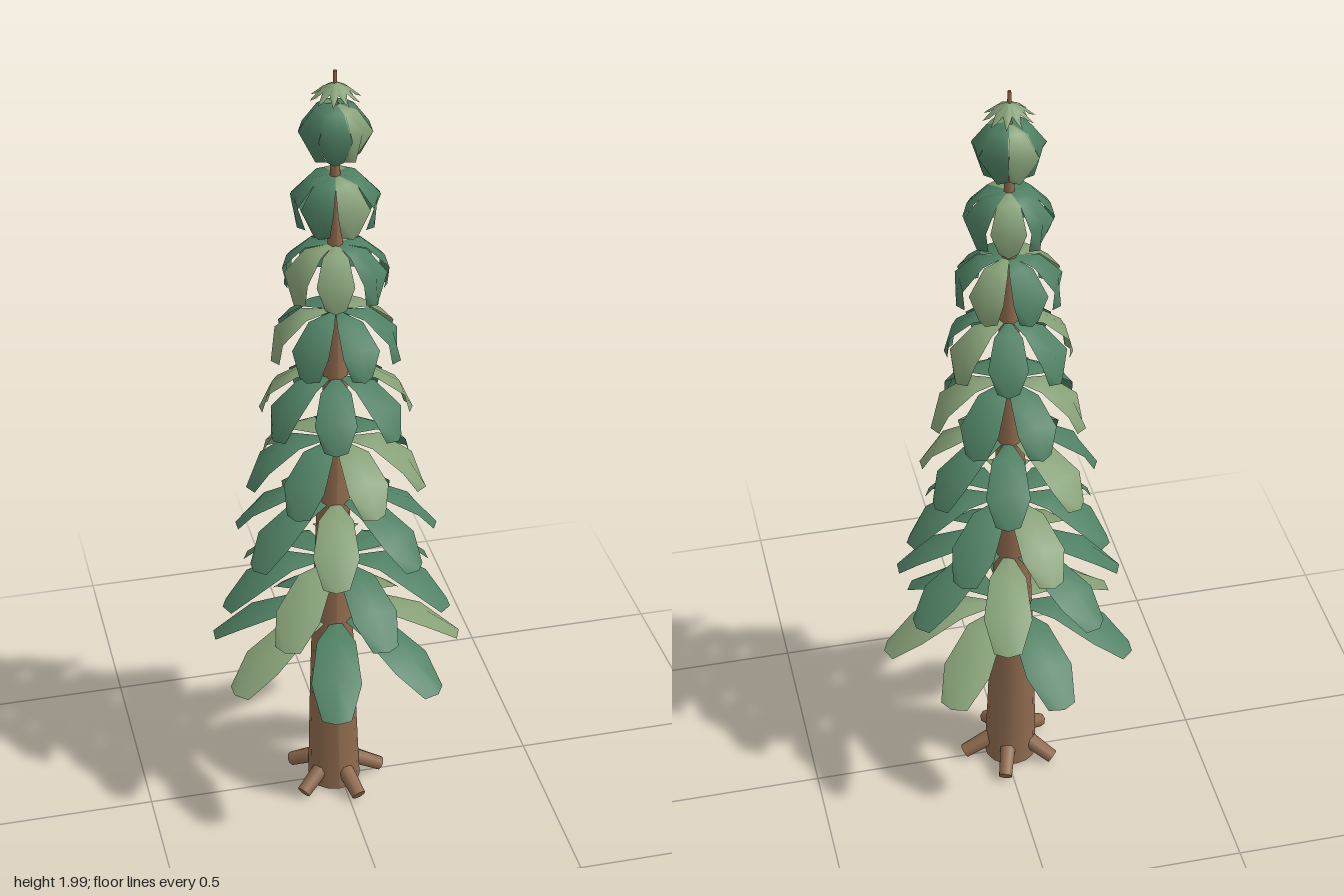
import * as THREE from 'three';

const mat = (name, color, side = THREE.FrontSide) => {
  const m = new THREE.MeshStandardMaterial({ color, side });
  m.name = name;
  return m;
};
const lerp = THREE.MathUtils.lerp;
const TIERS = 9, LEAVES = 7, CENTRE = -0.01;

// Drooping leaf along +x: rows of left edge, midrib, right edge.
// profile: [radius, height, half width] from stem to tip
function leafGeometry(profile, fold) {
  const pos = [], index = [];
  profile.forEach(([r, y, w], i) => {
    const back = i === profile.length - 1 ? 0.015 : 0; // blunt, slightly pointed tip
    const drop = fold * w;
    pos.push(r - back, y - drop + back * 0.5, -w, r, y, 0, r - back, y - drop + back * 0.5, w);
    if (i === 0) return;
    const a = (i - 1) * 3;
    for (const k of [a, a + 1]) index.push(k, k + 1, k + 3, k + 1, k + 4, k + 3);
  });
  const g = new THREE.BufferGeometry();
  g.setAttribute('position', new THREE.Float32BufferAttribute(pos, 3));
  g.setIndex(index);
  g.computeVertexNormals();
  return g;
}

export function createModel() {
  const tree = new THREE.Group();
  tree.name = 'conifer';
  const bark = mat('bark brown', 0x8f6a4e);
  const dark = mat('needle green', 0x4f8063, THREE.DoubleSide);
  const light = mat('pale green', 0x86a077, THREE.DoubleSide);

  // Tapered trunk with a slight lean through the lower half
  const trunkGeo = new THREE.CylinderGeometry(0.004, 0.067, 1.985, 14, 16);
  trunkGeo.translate(0, 1.0075, 0);
  const p = trunkGeo.attributes.position;
  for (let i = 0; i < p.count; i++) {
    const y = p.getY(i);
    p.setX(i, p.getX(i) - 0.011 - 0.009 * Math.sin(Math.PI * Math.min(1, (y + 0.3) / 1.5)));
  }
  trunkGeo.computeVertexNormals();
  const trunk = new THREE.Mesh(trunkGeo, bark);
  trunk.name = 'trunk';
  tree.add(trunk);

  // Stubby roots
  const roots = new THREE.Group();
  roots.name = 'roots';
  roots.position.x = -0.015;
  const up = new THREE.Vector3(0, 1, 0);
  for (let i = 0; i < 5; i++) {
    const a = (i / 5) * Math.PI * 2;
    const from = new THREE.Vector3(Math.cos(a) * 0.03, 0.075, Math.sin(a) * 0.03);
    const to = new THREE.Vector3(Math.cos(a) * 0.122, 0.025, Math.sin(a) * 0.122);
    const dir = to.clone().sub(from);
    const root = new THREE.Mesh(new THREE.CylinderGeometry(0.018, 0.022, dir.length(), 8), bark);
    root.name = 'root';
    root.position.copy(from).add(to).multiplyScalar(0.5);
    root.quaternion.setFromUnitVectors(up, dir.normalize());
    roots.add(root);
  }
  tree.add(roots);

  // Whorls of leaves: long and spreading below, short and hanging above
  for (let t = 0; t < TIERS; t++) {
    const f = t / (TIERS - 1);
    const tier = new THREE.Group();
    tier.name = `leafTier${t + 1}`;
    tier.position.set(CENTRE, 0.54 + t * 0.1725, 0);
    const geo = leafGeometry([
      [lerp(0.02, 0.008, f), lerp(-0.015, 0.0, f), 0.006],
      [lerp(0.13, 0.045, f), lerp(0.004, -0.005, f), lerp(0.048, 0.024, f)],
      [lerp(0.235, 0.078, f), lerp(-0.045, -0.05, f), lerp(0.062, 0.038, f)],
      [lerp(0.322, 0.058, f), lerp(-0.118, -0.128, f), lerp(0.036, 0.02, f)],
    ], 0.25);
    for (let k = 0; k < LEAVES; k++) {
      const leaf = new THREE.Mesh(geo, (k + t) % 3 === 0 ? light : dark);
      leaf.name = 'leaf';
      leaf.rotation.y = -((k + t / 2) / LEAVES) * Math.PI * 2;
      tier.add(leaf);
    }
    tree.add(tier);
  }

  // Small star of pale leaves at the top
  const crown = new THREE.Group();
  crown.name = 'crown';
  crown.position.set(CENTRE, 1.972, 0);
  const crownGeo = leafGeometry([
    [0.003, 0, 0.002], [0.03, -0.014, 0.011], [0.06, -0.04, 0.004],
  ], 0.3);
  for (let k = 0; k < 10; k++) {
    const leaf = new THREE.Mesh(crownGeo, light);
    leaf.name = 'crownLeaf';
    leaf.rotation.y = (k / 10) * Math.PI * 2;
    crown.add(leaf);
  }
  tree.add(crown);

  // Rest on the ground
  const box = new THREE.Box3().setFromObject(tree);
  tree.children.forEach((c) => { c.position.y -= box.min.y; });
  return tree;
}
